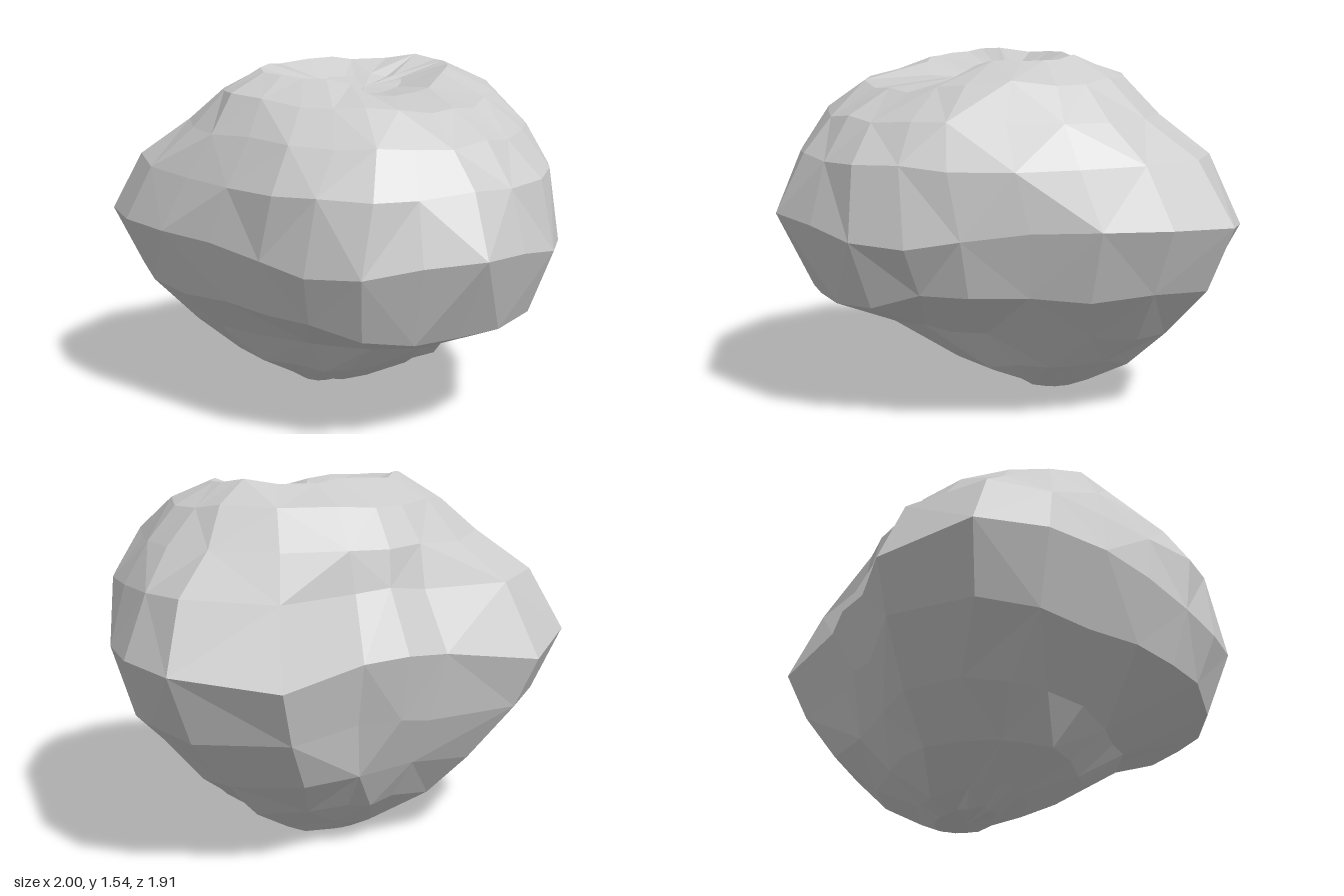
import * as THREE from 'three';

// Half of the widest outline, from the front tip round to the back notch: [x, z]
const HALF = [
  [0, 0.95], [0.24, 0.86], [0.46, 0.76], [0.62, 0.58], [0.72, 0.38], [0.83, 0.13],
  [0.94, -0.13], [1, -0.41], [0.96, -0.71], [0.61, -0.96], [0.2, -0.88], [0, -0.9],
];
const mirrored = HALF.slice(1, -1).reverse().map(([x, z]) => [-x, z]);
const OUTLINE = [...HALF, ...mirrored];

// Cross-sections: [y, half width, back z, front z,
//   share of the cornered outline in front, and behind, narrowing of the front]
const RINGS = [
  [0.01, 0.19, -0.42, -0.19, 0, 0, 1],
  [0.07, 0.3, -0.5, -0.06, 0, 0.2, 1],
  [0.19, 0.5, -0.65, 0.19, 0, 0.5, 0.75],
  [0.36, 0.67, -0.78, 0.42, 0, 0.8, 0.65],
  [0.58, 0.88, -0.88, 0.8, 0.7, 1, 1],
  [0.87, 1, -0.96, 0.95, 1, 1, 1],
  [1.11, 0.89, -0.82, 0.84, 0.3, 1, 0.96],
  [1.28, 0.76, -0.75, 0.7, 0, 0.25, 0.9],
  [1.43, 0.63, -0.62, 0.51, 0, 0, 0.88],
  [1.525, 0.46, -0.38, 0.22, 0, 0, 0.88],
  [1.46, 0.22, -0.24, 0.02, 0, 0, 1],
];
const JAW = 4, RIM = 5;
const { lerp, clamp, smoothstep } = THREE.MathUtils;

// Small seeded random in -1..1
function makeRandom(seed) {
  return () => {
    seed = (seed * 16807) % 2147483647;
    return (seed / 2147483647) * 2 - 1;
  };
}

const bump = (x, z, cx, cz, r) => Math.exp(-((x - cx) ** 2 + (z - cz) ** 2) / (r * r));

function ringPoint([y, w, back, front, frontShare, backShare, narrow], [ox, oz]) {
  // Cornered shape stretched to this ring
  const sx = ox * w;
  const sz = back + ((oz + 0.96) / 1.91) * (front - back);
  // Rounded shape at the matching angle
  const a = Math.atan2(ox, oz + 0.1);
  const ex = Math.sin(a) * w;
  const ez = (front + back) / 2 + (Math.cos(a) * (front - back)) / 2;
  const share = lerp(backShare, frontShare, smoothstep(oz, -0.4, 0.3));
  const z = lerp(ez, sz, share);
  const x = lerp(ex, sx, share) * lerp(1, narrow, smoothstep(z, -0.2, 0.25));
  return new THREE.Vector3(x, y, z);
}

function rockGeometry() {
  const random = makeRandom(4711);
  const n = OUTLINE.length;
  const verts = [];
  RINGS.forEach((ring, i) => {
    for (const o of OUTLINE) {
      const p = ringPoint(ring, o);
      const ax = Math.abs(p.x);
      // Chipped surface, kept crisp at the widest ring
      const chip = i === RIM ? 0 : i === 0 || i === RINGS.length - 1 ? 0.008 : 0.015;
      p.x += random() * chip;
      p.y += random() * chip;
      p.z += random() * chip;
      // Hollow running from the crown down over the front
      if (p.y > 1.15) {
        const k = Math.min(1, (p.y - 1.15) / 0.25);
        p.y -= k * 0.11 * bump(p.x, p.z, 0.04, 0.25, 0.27);
      }
      // Blunt jaw hanging below the front tip
      if (i === JAW) {
        p.y -= 0.09 * smoothstep(p.z, 0.5, 0.72);
        p.z = Math.min(p.z, 0.76);
      }
      // Rim sinks beside the tip and at the back corners
      if (i === RIM) {
        p.y -= 0.08 * bump(ax, p.z, 0.56, 0.62, 0.35) + 0.07 * bump(ax, p.z, 0.6, -0.96, 0.35);
      }
      p.y = clamp(p.y, 0, 1.545);
      verts.push(p);
    }
  });
  const base = verts.push(new THREE.Vector3(0, 0, -0.3)) - 1;
  const crown = verts.push(new THREE.Vector3(0.03, 1.42, -0.1)) - 1;

  const index = [];
  const last = (RINGS.length - 1) * n;
  for (let j = 0; j < n; j++) {
    const k = (j + 1) % n;
    index.push(base, k, j, crown, last + j, last + k);
    for (let i = 0; i < RINGS.length - 1; i++) {
      const a = i * n + j, b = i * n + k, c = a + n, d = b + n;
      // Alternate the diagonals for an irregular facet pattern
      if ((i + j) % 2) index.push(a, b, d, a, d, c);
      else index.push(a, b, c, b, d, c);
    }
  }
  const geometry = new THREE.BufferGeometry().setFromPoints(verts);
  geometry.setIndex(index);
  const flat = geometry.toNonIndexed();
  flat.computeVertexNormals();
  return flat;
}

export function createModel() {
  const group = new THREE.Group();
  group.name = 'rock';
  const material = new THREE.MeshStandardMaterial({ color: 0xcccccc, flatShading: true });
  const boulder = new THREE.Mesh(rockGeometry(), material);
  boulder.name = 'boulder';
  group.add(boulder);
  return group;
}
